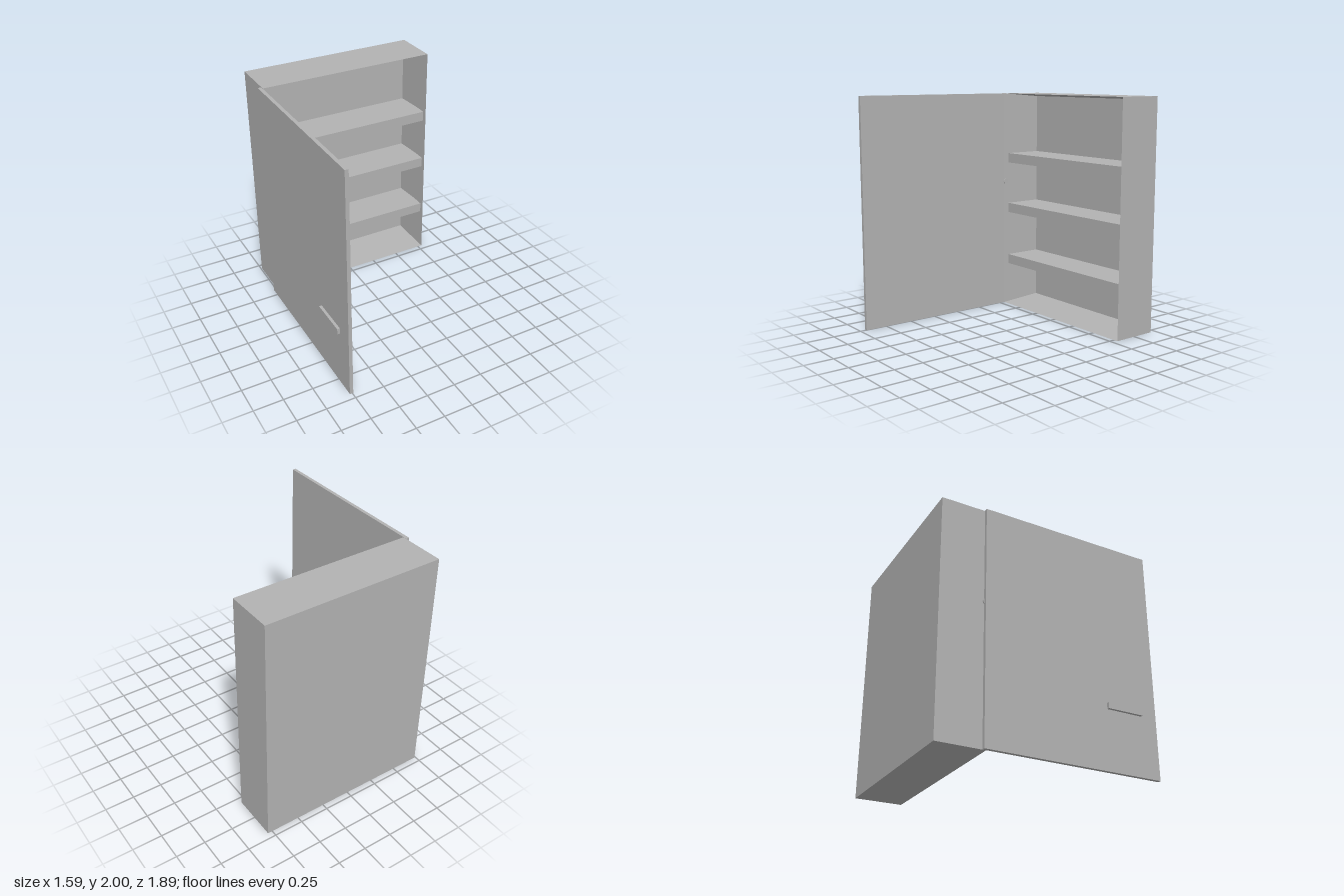
import * as THREE from 'three';

const grey = new THREE.MeshStandardMaterial({ color: 0xb2b2b2 });
grey.name = 'lightGrey';

function add(parent, name, geometry, x = 0, y = 0, z = 0) {
  const mesh = new THREE.Mesh(geometry, grey);
  mesh.name = name;
  mesh.position.set(x, y, z);
  parent.add(mesh);
  return mesh;
}

// Box given by its two extreme corners
function block(parent, name, [x0, y0, z0], [x1, y1, z1]) {
  return add(parent, name, new THREE.BoxGeometry(x1 - x0, y1 - y0, z1 - z0),
    (x0 + x1) / 2, (y0 + y1) / 2, (z0 + z1) / 2);
}

// Rectangle loop, anticlockwise seen from the front
const loop = (x0, x1, y0, y1, z) => [[x0, y0, z], [x1, y0, z], [x1, y1, z], [x0, y1, z]];

// Open cabinet: outer walls run to a sharp front rim, inner walls taper to the back
function cabinetGeometry() {
  const rings = [
    loop(-0.74, 0.79, 0, 2, -0.95),
    loop(-0.74, 0.79, 0, 2, -0.55),
    loop(-0.71, 0.763, 0.035, 1.97, -0.92),
  ];
  const positions = [];
  const quad = (a, b, c, d) => positions.push(...a, ...b, ...c, ...a, ...c, ...d);
  for (let r = 0; r < 2; r++) {
    for (let i = 0; i < 4; i++) {
      const j = (i + 1) % 4;
      quad(rings[r][i], rings[r][j], rings[r + 1][j], rings[r + 1][i]);
    }
  }
  quad(...[...rings[0]].reverse()); // outside back
  quad(...rings[2]); // inside back
  const geometry = new THREE.BufferGeometry();
  geometry.setAttribute('position', new THREE.Float32BufferAttribute(positions, 3));
  geometry.computeVertexNormals();
  return geometry;
}

export function createModel() {
  const model = new THREE.Group();
  model.name = 'wallCabinet';

  add(model, 'cabinetShell', cabinetGeometry());

  // Three thick shelves
  for (const y of [0.388, 0.885, 1.357]) {
    block(model, 'shelf', [-0.71, y, -0.92], [0.78, y + 0.088, -0.575]);
  }

  // Door swung open at the left edge of the front, with its pull
  const door = new THREE.Group();
  door.name = 'door';
  model.add(door);
  block(door, 'doorPanel', [-0.772, 0, -0.58], [-0.742, 2, 0.945]);
  block(door, 'handle', [-0.795, 0.505, 0.48], [-0.772, 0.555, 0.8]);

  // Small hinge pin joining door and cabinet
  const hinge = add(model, 'hinge', new THREE.CylinderGeometry(0.024, 0.024, 0.014, 20), -0.742, 1.177, -0.567);
  hinge.rotation.z = Math.PI / 2;

  return model;
}
